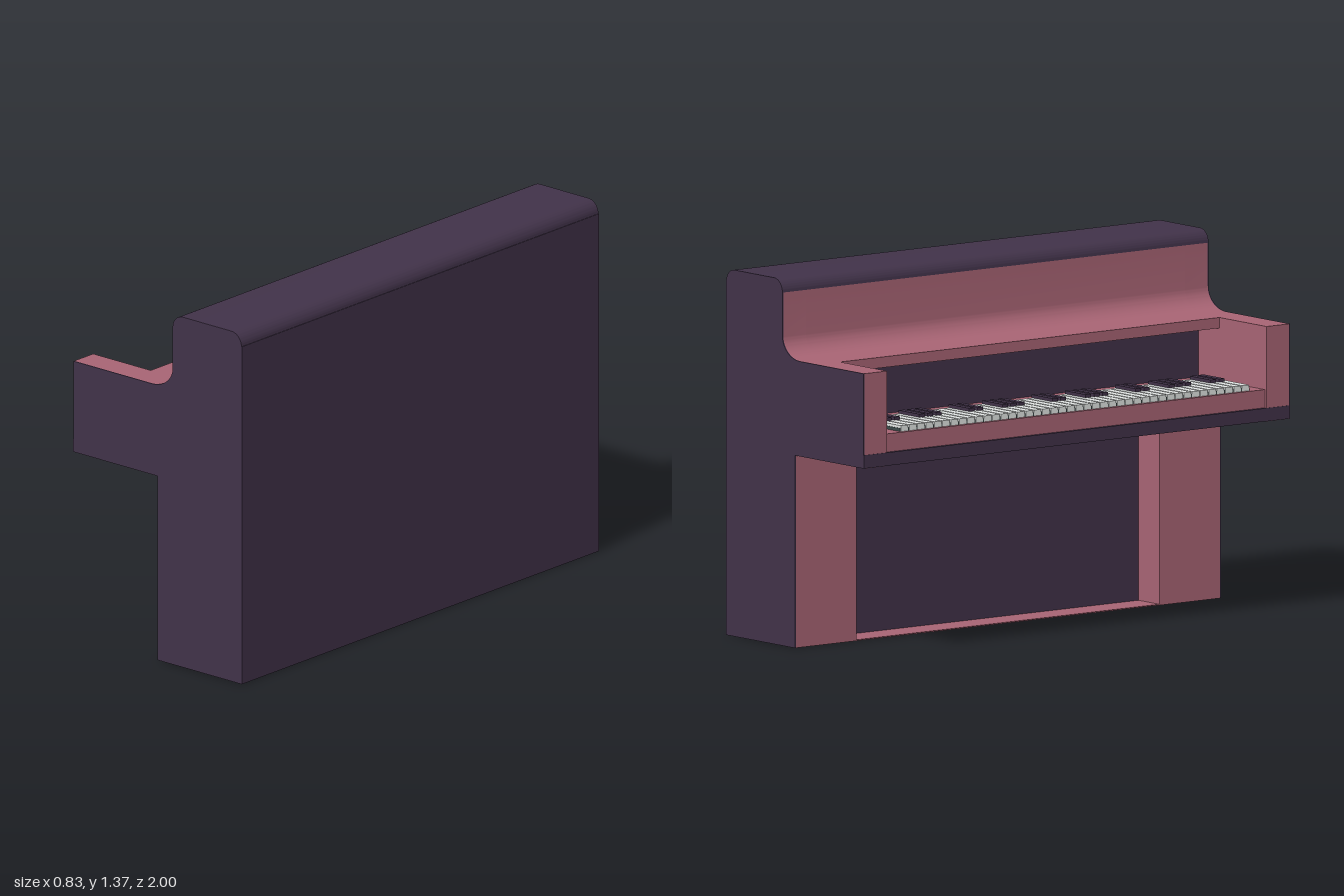
import * as THREE from 'three';
import { toCreasedNormals } from 'three/addons/utils/BufferGeometryUtils.js';

const mat = (color) => new THREE.MeshStandardMaterial({ color });

export function createModel() {
  const model = new THREE.Group();
  const rose = mat(0xa86474), dark = mat(0x413249), ivory = mat(0xe2e6e4), gapGrey = mat(0x3c4a4a);

  // Box given by its limits on each axis
  function box(name, material, x0, x1, y0, y1, z0, z1, parent = model) {
    const mesh = new THREE.Mesh(new THREE.BoxGeometry(x1 - x0, y1 - y0, z1 - z0), material);
    mesh.position.set((x0 + x1) / 2, (y0 + y1) / 2, (z0 + z1) / 2);
    mesh.name = name;
    parent.add(mesh);
  }

  // Side profile extruded along z
  function slab(name, material, shape, z0, z1) {
    const geo = new THREE.ExtrudeGeometry(shape, { depth: z1 - z0, bevelEnabled: false, curveSegments: 12 });
    const mesh = new THREE.Mesh(toCreasedNormals(geo, 0.5), material);
    mesh.position.z = z0;
    mesh.name = name;
    model.add(mesh);
  }

  const R = 0.413, TOP = 1.37, SHOULDER = 1.32;

  // Rounded top edge, from back to front
  function roundedTop(s) {
    s.lineTo(R, SHOULDER);
    s.absellipse(R - 0.05, SHOULDER, 0.05, 0.05, 0, Math.PI / 2, false);
    s.lineTo(0.125, TOP);
    s.absellipse(0.125, SHOULDER, 0.05, 0.05, Math.PI / 2, Math.PI, false);
  }

  // Concave sweep from the upright face down to the shelf
  function sweep(s) {
    s.lineTo(0.075, 1.16);
    s.absellipse(-0.03, 1.16, 0.105, 0.085, 0, -Math.PI / 2, true);
  }

  function sideProfile(rounded) {
    const s = new THREE.Shape();
    s.moveTo(0, 0);
    s.lineTo(R, 0);
    if (rounded) roundedTop(s);
    else s.lineTo(R, SHOULDER).lineTo(0.075, SHOULDER);
    sweep(s);
    s.lineTo(-R, 1.075).lineTo(-R, 0.72).lineTo(0, 0.72).lineTo(0, 0);
    return s;
  }

  // Cheeks with dark outer skins, and the posts beside the knee space
  for (const side of [-1, 1]) {
    const span = (a, b) => (side > 0 ? [a, b] : [-b, -a]);
    slab('cheek', rose, sideProfile(false), ...span(0.89, 0.996));
    slab('endPanel', dark, sideProfile(true), ...span(0.996, 1));
    box('post', rose, 0, 0.41, 0, 0.72, ...span(0.71, 0.89));
  }

  // Middle body with the keyboard recess under a thin shelf
  const body = new THREE.Shape();
  body.moveTo(-0.403, 0.72);
  body.lineTo(0.41, 0.72).lineTo(0.41, SHOULDER).lineTo(0.075, SHOULDER);
  sweep(body);
  body.lineTo(-0.13, 1.075).lineTo(-0.13, 1.035).lineTo(0, 1.035).lineTo(0, 0.838).lineTo(-0.403, 0.838);
  slab('body', rose, body, -0.89, 0.89);

  // Rounded lid
  const lid = new THREE.Shape();
  lid.moveTo(0.075, SHOULDER);
  roundedTop(lid);
  slab('lid', dark, lid, -0.996, 0.996);

  // Panels, floor and front rail
  box('backPanel', dark, 0.409, 0.415, 0, SHOULDER, -1, 1);
  box('lowerCase', rose, 0.13, 0.41, 0, 0.72, -0.71, 0.71);
  box('kneePanel', dark, 0.125, 0.13, 0.004, 0.72, -0.71, 0.71);
  box('floor', rose, 0, 0.13, 0, 0.004, -0.71, 0.71);
  box('recessPanel', dark, -0.005, 0, 0.838, 1.035, -0.89, 0.89);
  box('frontRail', dark, -0.415, -0.4, 0.721, 0.77, -1, 1);

  // Keyboard
  const keyboard = new THREE.Group();
  keyboard.name = 'keyboard';
  model.add(keyboard);
  const count = 42, start = -0.81, pitch = 1.64 / count;
  box('keyBase', gapGrey, -0.388, -0.15, 0.836, 0.85, start, start + 1.64, keyboard);
  for (let i = 0; i < count; i++) {
    const z = start + i * pitch;
    box('whiteKey', ivory, -0.39, -0.148, 0.838, 0.86, z + 0.003, z + pitch - 0.003, keyboard);
  }
  const blacks = [1, 2, 5, 6, 7, 11, 12, 15, 16, 17, 21, 22, 25, 26, 27, 31, 32, 35, 36, 37, 40, 41];
  for (const n of blacks) {
    const z = start + n * pitch;
    box('blackKey', dark, -0.27, -0.146, 0.84, 0.872, z - 0.013, z + 0.013, keyboard);
  }
  return model;
}
